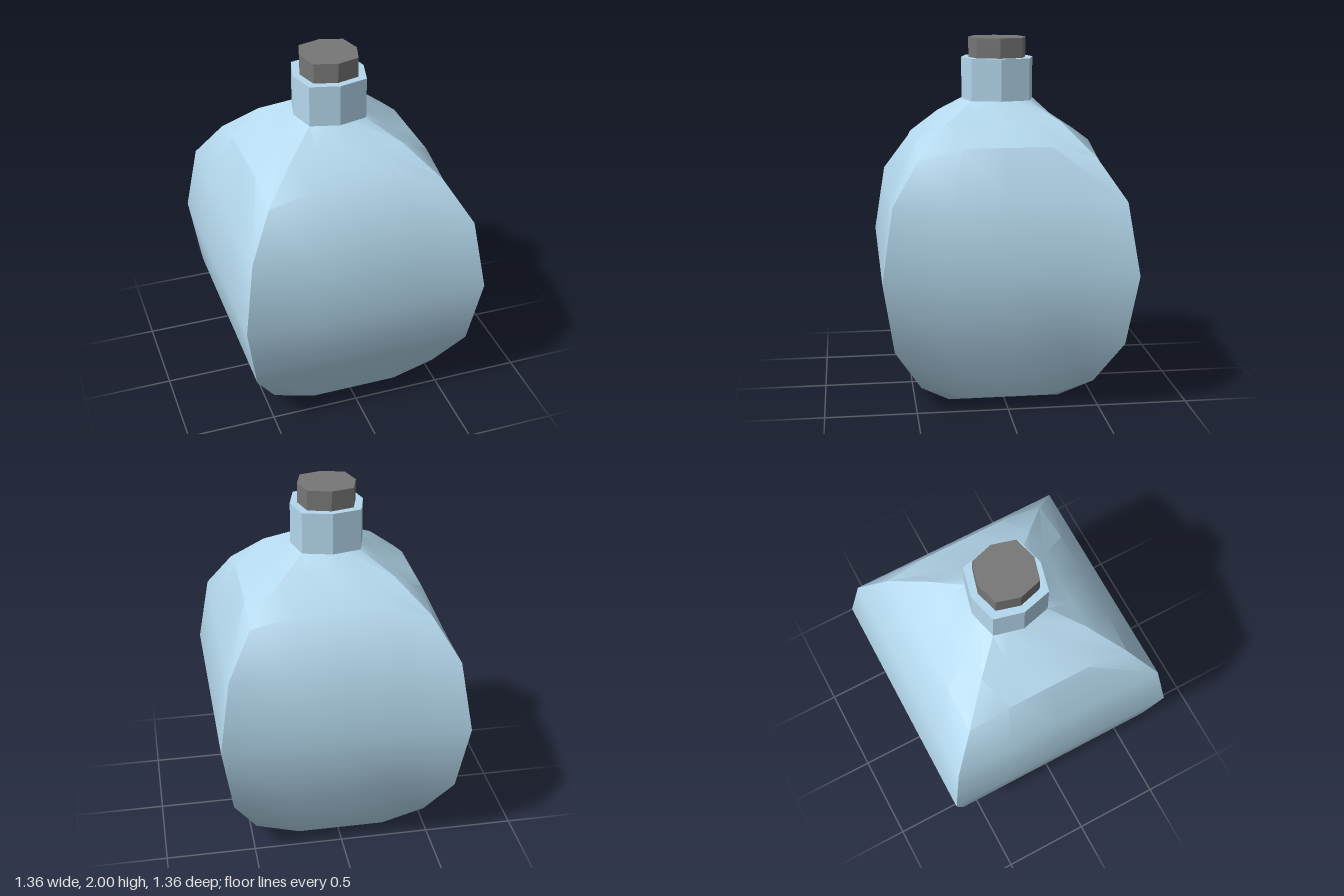
import * as THREE from 'three';
import { toCreasedNormals } from 'three/addons/utils/BufferGeometryUtils.js';

// Ring of 16 points around y, four per side.
// corner: half-width at the corners, mid: half-width at the middle of each side,
// cornerY: height of the corners, depth: scale along z.
function ring({ y, corner, mid = corner, cornerY = y, depth = 1 }) {
  const points = [];
  for (let side = 0; side < 4; side++) {
    for (const s of [-1, -0.5, 0, 0.5]) {
      let x = THREE.MathUtils.lerp(mid, corner, Math.abs(s));
      let z = s * corner;
      for (let k = 0; k < side; k++) [x, z] = [-z, x];
      points.push([x, s === -1 ? cornerY : y, z * depth]);
    }
  }
  return points;
}

// Skin the rings from bottom to top; a ring with corner 0 closes an end.
function loft(sections) {
  const rings = sections.map(ring);
  const positions = [];
  for (let i = 0; i < rings.length - 1; i++) {
    for (let j = 0; j < 16; j++) {
      const k = (j + 1) % 16;
      const a = rings[i][j], b = rings[i][k], c = rings[i + 1][k], d = rings[i + 1][j];
      if (sections[i + 1].corner > 0) positions.push(...a, ...d, ...c);
      else positions.push(...a, ...d, ...b);
      if (sections[i].corner > 0 && sections[i + 1].corner > 0) positions.push(...a, ...c, ...b);
    }
  }
  const geometry = new THREE.BufferGeometry();
  geometry.setAttribute('position', new THREE.Float32BufferAttribute(positions, 3));
  geometry.computeVertexNormals();
  return geometry;
}

export function createModel() {
  const group = new THREE.Group();
  const glass = new THREE.MeshStandardMaterial({ color: 0xb5d9ee, side: THREE.DoubleSide });
  const glassFlat = glass.clone();
  glassFlat.flatShading = true;
  const dark = new THREE.MeshStandardMaterial({ color: 0x777777, flatShading: true });

  function add(name, geometry, material) {
    const mesh = new THREE.Mesh(geometry, material);
    mesh.name = name;
    group.add(mesh);
  }

  // Bulging square body with sharp corners and a shoulder narrowing to an octagon
  const body = loft([
    { y: 0, corner: 0 },
    { y: 0, corner: 0.31 },
    { y: 0.07, corner: 0.485, cornerY: 0.14, depth: 0.98 },
    { y: 0.39, corner: 0.62 },
    { y: 0.78, corner: 0.68 },
    { y: 1.17, corner: 0.62 },
    { y: 1.45, corner: 0.485, cornerY: 1.39, depth: 0.98 },
    { y: 1.56, corner: 0.31 },
    { y: 1.66, corner: 0.16, mid: 0.2 },
  ]);
  add('body', toCreasedNormals(body, THREE.MathUtils.degToRad(32)), glass);

  // Eight-sided neck with a flat rim
  add('neck', loft([
    { y: 1.66, corner: 0.16, mid: 0.2 },
    { y: 1.89, corner: 0.16, mid: 0.2 },
    { y: 1.89, corner: 0.125, mid: 0.16 },
  ]), glassFlat);

  // Eight-sided stopper
  add('stopper', loft([
    { y: 1.89, corner: 0 },
    { y: 1.89, corner: 0.125, mid: 0.16 },
    { y: 2, corner: 0.125, mid: 0.16 },
    { y: 2, corner: 0 },
  ]), dark);

  return group;
}
